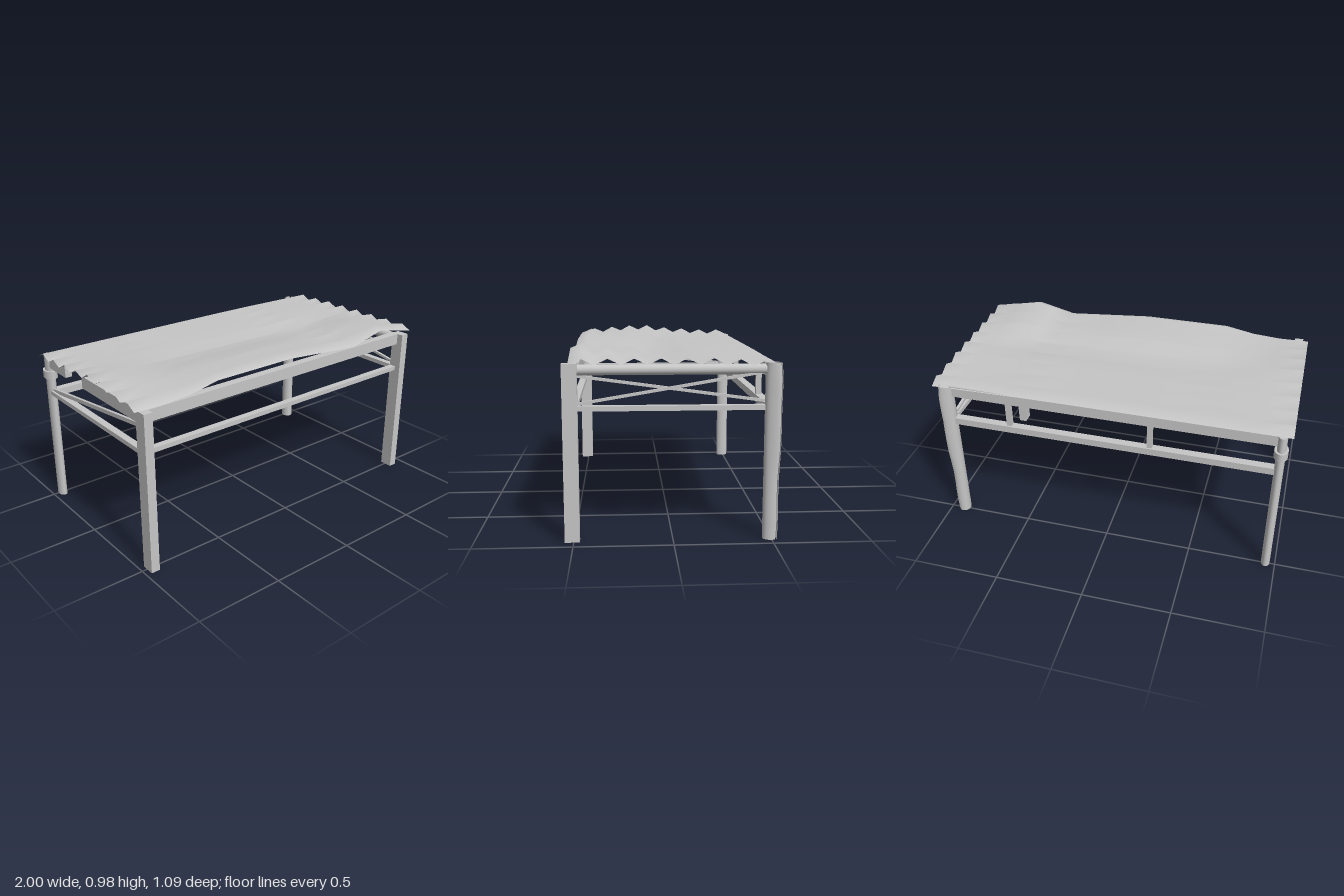
import * as THREE from 'three';

export function createModel() {
  const group = new THREE.Group();
  const metal = new THREE.MeshStandardMaterial({ color: 0xc6c6c6, side: THREE.DoubleSide });
  metal.name = 'weathered grey';

  const add = (name, geo, x = 0, y = 0, z = 0) => {
    const m = new THREE.Mesh(geo, metal);
    m.name = name;
    m.position.set(x, y, z);
    group.add(m);
    return m;
  };
  // Box given by its two opposite corners
  const box = (name, x0, x1, y0, y1, z0, z1) =>
    add(name, new THREE.BoxGeometry(x1 - x0, y1 - y0, z1 - z0), (x0 + x1) / 2, (y0 + y1) / 2, (z0 + z1) / 2);
  // Slanted bar on a side frame, running in the y-z plane
  const brace = (name, x, y0, z0, y1, z1, t) => {
    const m = add(name, new THREE.BoxGeometry(0.016, t, Math.hypot(y1 - y0, z1 - z0)), x, (y0 + y1) / 2, (z0 + z1) / 2);
    m.rotation.x = -Math.atan2(y1 - y0, z1 - z0);
  };
  // Piecewise linear lookup over [position, value] pairs
  const lerpTable = (pts, v) => {
    let i = 0;
    while (i < pts.length - 2 && v > pts[i + 1][0]) i++;
    const [a, b] = [pts[i], pts[i + 1]];
    return THREE.MathUtils.lerp(a[1], b[1], THREE.MathUtils.clamp((v - a[0]) / (b[0] - a[0]), 0, 1));
  };

  // Front legs: rectangular posts
  box('frontRightLeg', -0.97, -0.92, 0, 0.9, 0.47, 0.545);
  box('frontLeftLeg', 0.888, 0.938, 0, 0.9, 0.47, 0.545);

  // Back right leg: oval pipe with a collar
  const pipeLeg = new THREE.CylinderGeometry(0.025, 0.025, 0.9, 24).scale(1, 1, 1.5);
  add('backRightLeg', pipeLeg, -0.946, 0.45, -0.4925);
  const collar = new THREE.CylinderGeometry(0.037, 0.037, 0.045, 24).scale(1, 1, 1.4);
  add('legCollar', collar, -0.946, 0.788, -0.4925);

  // Back left leg: pipe split along its outer corner, with wavy flared rims
  const split = Math.PI * 0.75;
  const torn = new THREE.CylinderGeometry(0.033, 0.033, 0.9, 28, 12, true, split + 0.12, Math.PI * 2 - 0.24);
  const tp = torn.attributes.position;
  const flare = [[0, 0.002], [0.35, 0.006], [0.6, 0.014], [0.8, 0.013], [0.9, 0.008]];
  for (let i = 0; i < tp.count; i++) {
    const y = tp.getY(i) + 0.45;
    const a = Math.atan2(tp.getX(i), tp.getZ(i));
    const k = Math.max(0, Math.cos(a - split)) ** 3 * (lerpTable(flare, y) + 0.002 * Math.sin(y * 17));
    tp.setXYZ(i, tp.getX(i) + k, y, tp.getZ(i) * 1.14 - k);
  }
  torn.computeVertexNormals();
  add('backLeftTornLeg', torn, 0.918, 0, -0.4925);

  // Long beams and lower rails
  box('frontBeam', -0.92, 0.888, 0.835, 0.9, 0.46, 0.508);
  box('backBeam', -0.93, 0.9, 0.835, 0.9, -0.505, -0.455);
  box('frontRail', -0.92, 0.888, 0.665, 0.69, 0.472, 0.51);
  box('backRail', -0.925, 0.89, 0.65, 0.69, -0.51, -0.465);
  for (const x of [-0.25, 0.56]) box('backStrut', x - 0.014, x + 0.014, 0.69, 0.835, -0.5, -0.47);

  // Left side: round top pipe, rail and crossed braces
  add('leftTopPipe', new THREE.CylinderGeometry(0.0265, 0.0265, 0.94, 20).rotateX(Math.PI / 2), 0.91, 0.867, 0.01);
  box('leftRail', 0.892, 0.93, 0.665, 0.69, -0.455, 0.48);
  brace('leftBraceRising', 0.92, 0.855, -0.455, 0.7, 0.475, 0.014);
  brace('leftBraceFalling', 0.9, 0.708, -0.455, 0.836, 0.475, 0.014);

  // Right side: broken top beam, rail and one brace
  box('rightTopBeamFront', -0.96, -0.92, 0.83, 0.9, -0.08, 0.48);
  box('rightTopBeamBack', -0.96, -0.92, 0.83, 0.9, -0.47, -0.27);
  box('rightRail', -0.965, -0.925, 0.665, 0.69, -0.47, 0.48);
  brace('rightBrace', -0.945, 0.69, -0.46, 0.815, 0.475, 0.022);

  // Corrugated roof sheet: zigzag across z with several buckled areas
  const cols = [-1, -0.83, -0.67, -0.5, -0.25, 0, 0.25, 0.5, 0.61, 0.72, 0.86, 1];
  // Each buckle: height along x times strength along z
  const buckles = [
    // lifted front edge
    [[[-0.83, 0], [-0.67, 0.012], [-0.5, 0.042], [0, 0.042], [0.5, 0.003], [0.72, 0.052], [1, 0]],
      [[0, 0], [0.13, 0.35], [0.25, 0.7], [0.51, 1.1]]],
    // raised middle of the right end
    [[[-1, 0.033], [-0.67, 0.008], [-0.5, 0]],
      [[-0.32, 0], [-0.065, 0.5], [0.065, 1], [0.19, 0.95], [0.51, 0.2]]],
    // long trough behind the lifted edge
    [[[-0.75, 0], [-0.4, -0.012], [0.25, -0.018], [0.6, -0.016], [0.9, 0]],
      [[-0.1, 0], [0.03, 0.8], [0.08, 1], [0.22, 0]]],
    // drooping back left corner
    [[[0.4, 0], [0.72, -0.006], [1, -0.011]],
      [[-0.51, 1], [-0.32, 0.6], [-0.2, 0]]],
  ];
  const rows = 16;
  const roof = new THREE.PlaneGeometry(1, 1, cols.length - 1, rows);
  const rp = roof.attributes.position;
  for (let i = 0; i < rp.count; i++) {
    const x = cols[i % cols.length];
    const r = Math.floor(i / cols.length);
    const z = -0.51 + r * 1.02 / rows;
    let y = r % 2 ? 0.93 : 0.9;
    for (const [alongX, alongZ] of buckles) y += lerpTable(alongX, x) * lerpTable(alongZ, z);
    rp.setXYZ(i, x, y, z);
  }
  roof.computeVertexNormals();
  add('corrugatedRoof', roof);

  return group;
}
